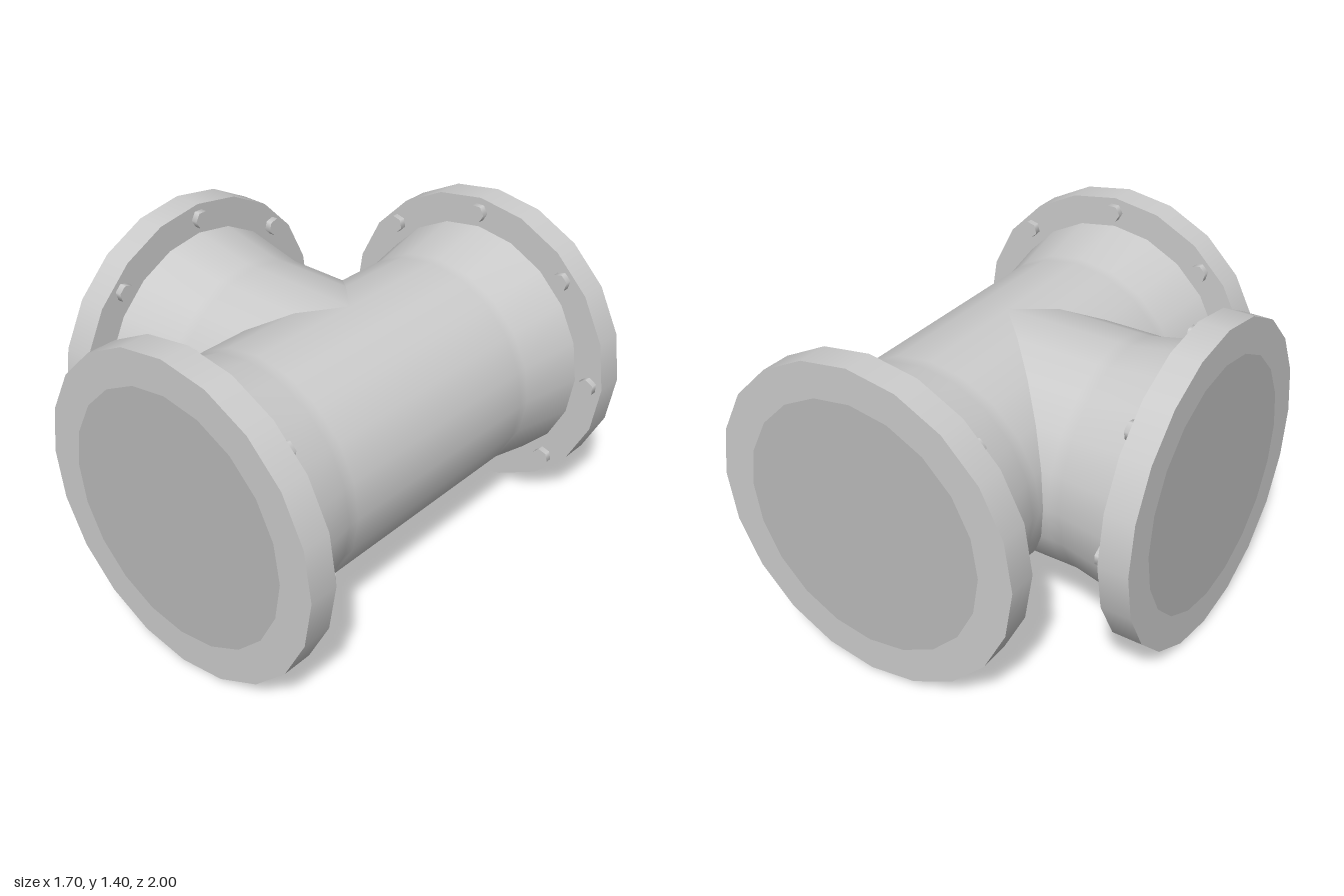
import * as THREE from 'three';
import { mergeGeometries } from 'three/addons/utils/BufferGeometryUtils.js';

const SIDES = 20;
const PIPE_R = 0.51, FLARE_R = 0.565, FLANGE_R = 0.7, CAP_R = 0.55;
const FLANGE_Z = 0.87, END_Z = 1;

const grey = new THREE.MeshStandardMaterial({ color: 0xcccccc });
const capGrey = new THREE.MeshStandardMaterial({ color: 0xbababa });

function part(name, geometry, material = grey) {
  const mesh = new THREE.Mesh(geometry, material);
  mesh.name = name;
  return mesh;
}

// Flared pipe along +z; its inner end is mitred by trim(x)
function pipeGeometry(trim) {
  const profile = [[PIPE_R, 0], [PIPE_R, 0.53], [PIPE_R, 0.58], [FLARE_R, FLANGE_Z]];
  const geo = new THREE.LatheGeometry(profile.map(([r, h]) => new THREE.Vector2(r, h)), SIDES);
  geo.rotateX(Math.PI / 2);
  const pos = geo.attributes.position;
  for (let i = 0; i < pos.count; i++) {
    if (Math.abs(pos.getZ(i)) < 1e-4) pos.setZ(i, trim(pos.getX(i)));
  }
  return geo;
}

// Flange: rim plus front and back rings
function flangeGeometry() {
  const depth = END_Z - FLANGE_Z;
  const rim = new THREE.CylinderGeometry(FLANGE_R, FLANGE_R, depth, SIDES, 1, true);
  rim.rotateX(Math.PI / 2).translate(0, 0, FLANGE_Z + depth / 2);
  const front = new THREE.RingGeometry(CAP_R, FLANGE_R, SIDES).translate(0, 0, END_Z);
  const back = new THREE.RingGeometry(CAP_R, FLANGE_R, SIDES).rotateY(Math.PI).translate(0, 0, FLANGE_Z);
  return mergeGeometries([rim, front, back]);
}

// One arm of the tee: pipe, flange, end cap and ring of hex bolts
function createArm(name, angle, trim) {
  const arm = new THREE.Group();
  arm.name = name;
  arm.add(part('pipe', pipeGeometry(trim)));
  arm.add(part('flange', flangeGeometry()));
  arm.add(part('endCap', new THREE.CircleGeometry(CAP_R, SIDES).translate(0, 0, END_Z), capGrey));

  const bolt = new THREE.CylinderGeometry(0.04, 0.04, 0.04, 6);
  bolt.rotateX(Math.PI / 2).translate(0, 0.635, FLANGE_Z - 0.01);
  // Corners point along the bolt circle
  bolt.translate(0, -0.635, 0).rotateZ(Math.PI / 2).translate(0, 0.635, 0);
  for (let i = 0; i < 8; i++) {
    const mesh = part('bolt', bolt);
    mesh.rotation.z = i * Math.PI / 4;
    arm.add(mesh);
  }
  arm.rotation.y = angle;
  return arm;
}

export function createModel() {
  const model = new THREE.Group();
  model.name = 'pipeTee';
  model.add(createArm('frontArm', 0, x => Math.max(0, -x)));
  model.add(createArm('backArm', Math.PI, x => Math.max(0, x)));
  model.add(createArm('branchArm', -Math.PI / 2, x => Math.abs(x)));
  for (const arm of model.children) arm.position.set(0.15, FLANGE_R, 0);
  return model;
}
